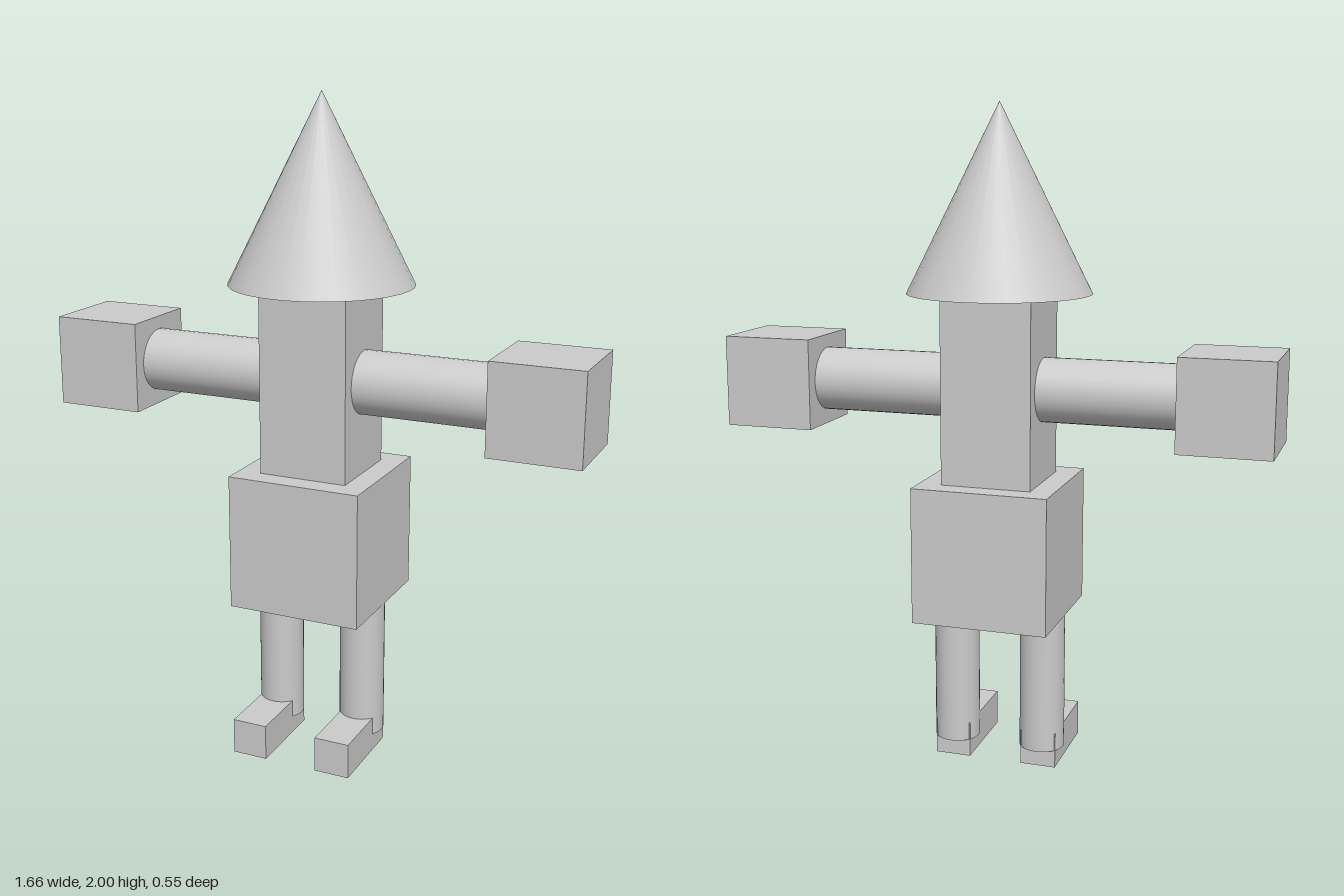
import * as THREE from 'three';

const material = new THREE.MeshStandardMaterial({ color: 0xcccccc });

export function createModel() {
  const model = new THREE.Group();
  model.name = 'blockFigure';

  const add = (name, geometry, x, y, z = 0) => {
    const mesh = new THREE.Mesh(geometry, material);
    mesh.name = name;
    mesh.position.set(x, y, z);
    model.add(mesh);
    return mesh;
  };

  // Pointed head, narrow chest and wide hip block
  add('coneHead', new THREE.ConeGeometry(0.275, 0.55, 32), 0, 1.725);
  add('chest', new THREE.BoxGeometry(0.275, 0.56, 0.275), 0, 1.17);
  add('hips', new THREE.BoxGeometry(0.415, 0.413, 0.415), 0, 0.685);

  // Limbs, mirrored left and right
  const armGeometry = new THREE.CylinderGeometry(0.096, 0.096, 0.48, 32);
  const handGeometry = new THREE.BoxGeometry(0.275, 0.275, 0.275);
  const legGeometry = new THREE.CylinderGeometry(0.069, 0.069, 0.43, 32);
  const footGeometry = new THREE.BoxGeometry(0.11, 0.11, 0.275);
  for (const [side, s] of [['left', 1], ['right', -1]]) {
    add(side + 'Arm', armGeometry, s * 0.345, 1.17).rotation.z = -s * Math.PI / 2;
    add(side + 'Hand', handGeometry, s * 0.695, 1.168);
    add(side + 'Leg', legGeometry, s * 0.138, 0.27);
    add(side + 'Foot', footGeometry, s * 0.138, 0.055, 0.093);
  }

  return model;
}
